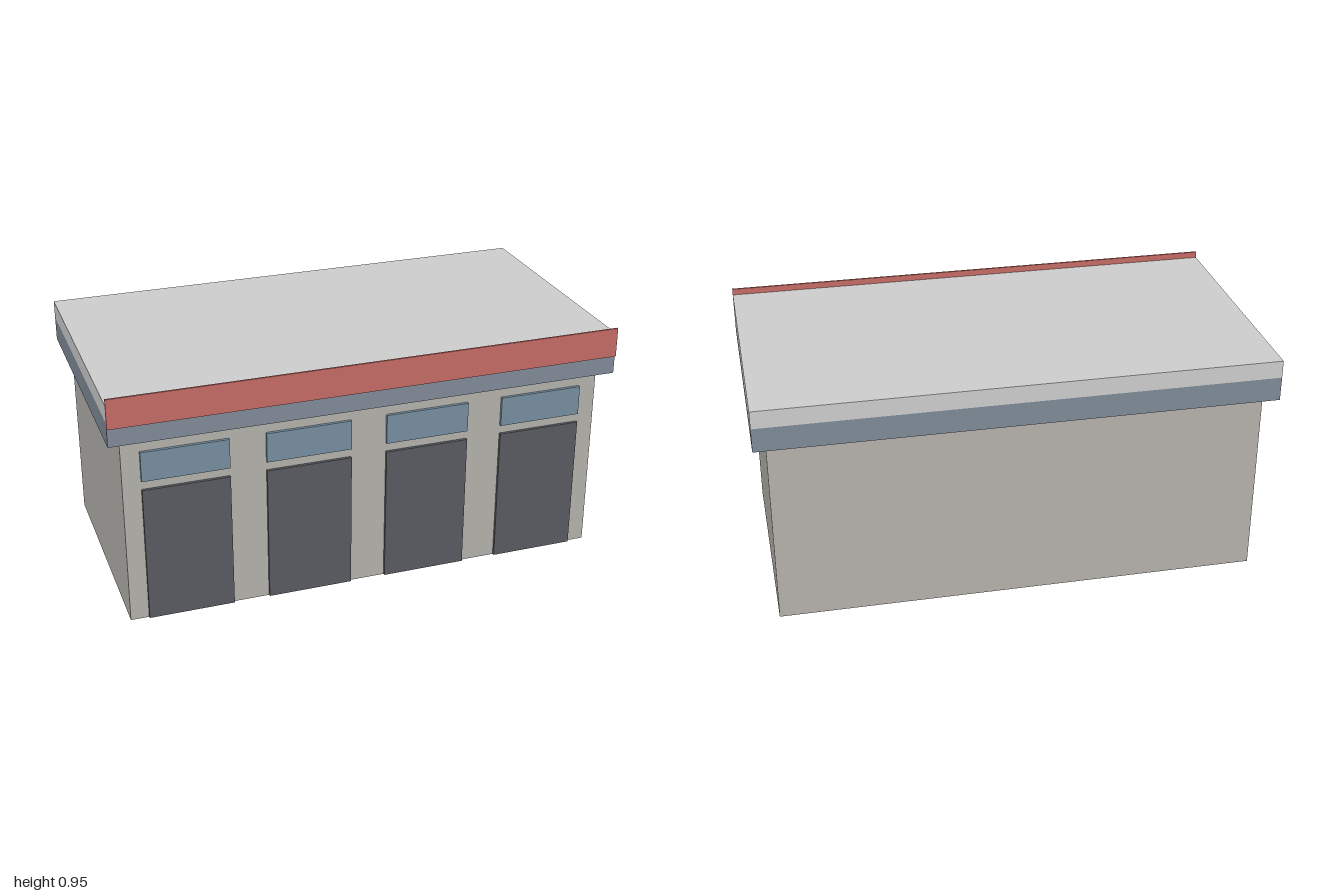
import * as THREE from 'three';

const WALL = 0xb3b0aa, FASCIA = 0x7e8996, ROOF = 0xcccccc;
const SIGN = 0xc46a64, GLASS = 0x758da0, DOOR = 0x585a60;

// Box given by its lower and upper limits on each axis
function block(name, color, [x0, x1], [y0, y1], [z0, z1]) {
  const mesh = new THREE.Mesh(
    new THREE.BoxGeometry(x1 - x0, y1 - y0, z1 - z0),
    new THREE.MeshStandardMaterial({ color })
  );
  mesh.position.set((x0 + x1) / 2, (y0 + y1) / 2, (z0 + z1) / 2);
  mesh.name = name;
  return mesh;
}

export function createModel() {
  const building = new THREE.Group();
  building.name = 'garageBuilding';

  // Main body, overhanging fascia band and flat roof slab
  building.add(
    block('walls', WALL, [-0.95, 0.95], [0, 0.763], [-0.476, 0.47]),
    block('fasciaBand', FASCIA, [-1, 1], [0.763, 0.858], [-0.526, 0.519]),
    block('roofSlab', ROOF, [-1, 1], [0.858, 0.928], [-0.526, 0.519]),
    block('frontSignBoard', SIGN, [-1, 1], [0.836, 0.953], [0.519, 0.527])
  );

  // Four bays, each with a door and a window above it
  const bayPitch = 0.475, halfWidth = 0.167;
  for (let i = 0; i < 4; i++) {
    const x = (i - 1.5) * bayPitch;
    const span = [x - halfWidth, x + halfWidth];
    const bay = new THREE.Group();
    bay.name = `bay${i + 1}`;
    bay.add(
      block('door', DOOR, span, [0.002, 0.55], [0.46, 0.482]),
      block('transomWindow', GLASS, span, [0.586, 0.705], [0.46, 0.482])
    );
    building.add(bay);
  }
  return building;
}
